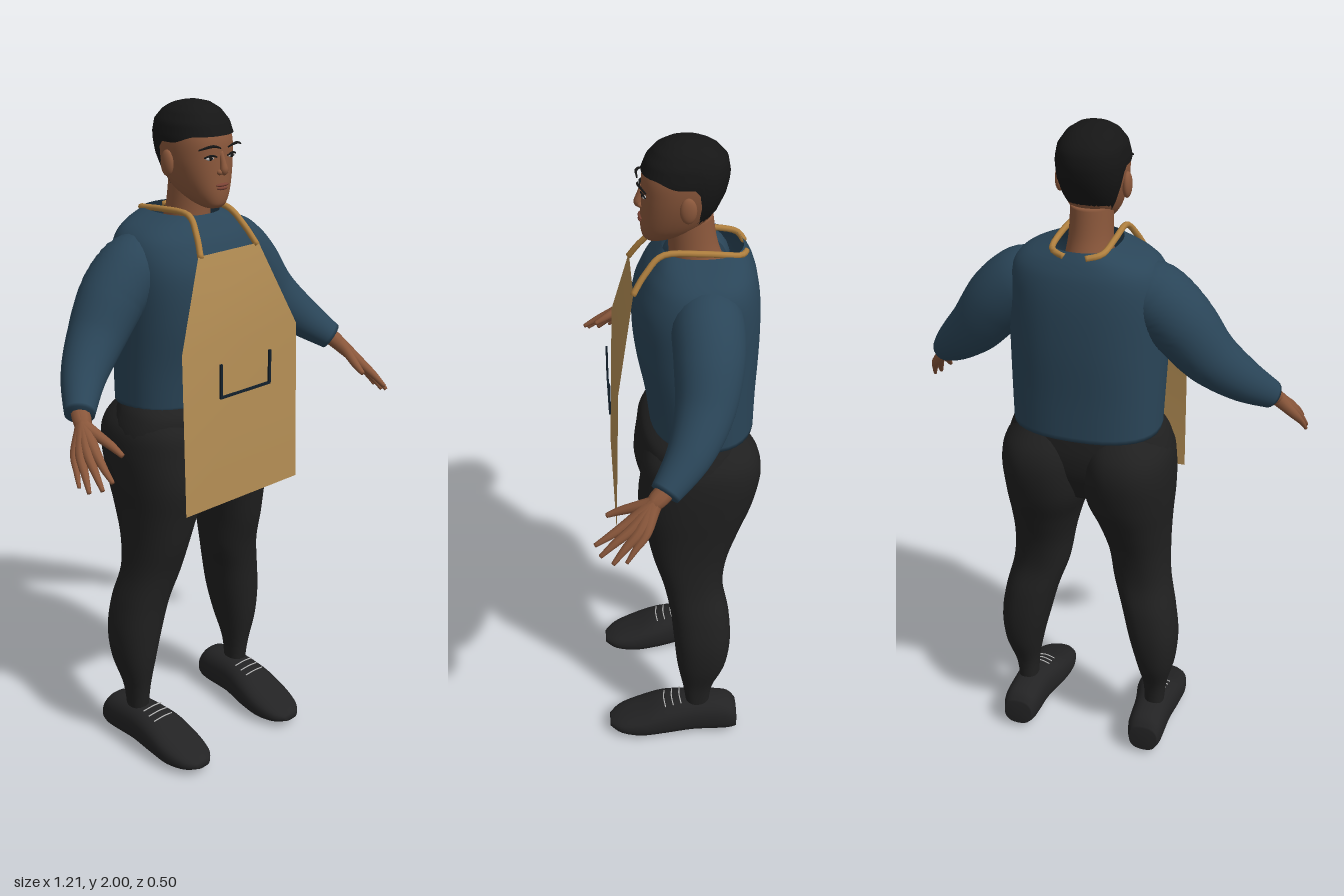
import * as THREE from 'three';

const mat = (name, color, side = THREE.FrontSide) => {
  const m = new THREE.MeshStandardMaterial({ color, side });
  m.name = name;
  return m;
};
const V = (x, y, z) => new THREE.Vector3(x, y, z);

// Catmull-Rom sample of a table of rows, t in 0..1
function sample(rows, t) {
  const n = rows.length - 1, f = t * n, i = Math.min(Math.floor(f), n - 1), u = f - i;
  const at = (k) => rows[Math.max(0, Math.min(n, k))];
  return rows[0].map((_, c) => {
    const [a, b, d, e] = [at(i - 1)[c], at(i)[c], at(i + 1)[c], at(i + 2)[c]];
    return b + 0.5 * u * (d - a + u * (2 * a - 5 * b + 4 * d - e + u * (3 * (b - d) + e - a)));
  });
}
const pow = (v, n) => Math.sign(v) * Math.abs(v) ** (2 / n);

// Smooth skin over a list of rings; ends optionally closed
function skin(rings, capA = true, capB = true) {
  const S = rings[0].length, R = rings.length, pos = [], idx = [];
  rings.forEach((r) => r.forEach((p) => pos.push(p.x, p.y, p.z)));
  for (let i = 0; i < R - 1; i++) for (let j = 0; j < S; j++) {
    const a = i * S + j, b = i * S + (j + 1) % S;
    idx.push(a, b, a + S, b, b + S, a + S);
  }
  const cap = (r, flip) => {
    const c = V(0, 0, 0), k = pos.length / 3;
    rings[r].forEach((p) => c.addScaledVector(p, 1 / S));
    pos.push(c.x, c.y, c.z);
    for (let j = 0; j < S; j++) {
      const a = r * S + j, b = r * S + (j + 1) % S;
      flip ? idx.push(k, b, a) : idx.push(k, a, b);
    }
  };
  if (capA) cap(0, true);
  if (capB) cap(R - 1, false);
  const g = new THREE.BufferGeometry();
  g.setAttribute('position', new THREE.Float32BufferAttribute(pos, 3));
  g.setIndex(idx);
  g.computeVertexNormals();
  return g;
}

const ring = (S, f) => Array.from({ length: S }, (_, j) => f(j / S * Math.PI * 2));

// Upright loft from rows [y, xMin, xMax, zFront, zBack], bottom to top
function loft(rows, n = 2.3, capA = true, capB = true, S = 36) {
  const R = rows.length * 5;
  return skin(Array.from({ length: R + 1 }, (_, i) => {
    const [y, x0, x1, zf, zb] = sample(rows, i / R);
    return ring(S, (a) => V((x0 + x1) / 2 + (x1 - x0) / 2 * pow(Math.sin(a), n), y,
      (zf + zb) / 2 + (zf - zb) / 2 * pow(Math.cos(a), n)));
  }), capA, capB);
}

// Round limb through points [x, y, z, radius]
function limb(pts, S = 12, steps = 5) {
  const R = (pts.length - 1) * steps, ref = V(1, 1, 0.3);
  return skin(Array.from({ length: R + 1 }, (_, i) => {
    const t = i / R, p = sample(pts, t);
    const q0 = sample(pts, Math.max(0, t - 0.01)), q1 = sample(pts, Math.min(1, t + 0.01));
    const T = V(q1[0] - q0[0], q1[1] - q0[1], q1[2] - q0[2]).normalize();
    const B = T.clone().cross(ref).normalize(), N = B.clone().cross(T);
    return ring(S, (a) => V(p[0], p[1], p[2])
      .addScaledVector(N, p[3] * Math.cos(a)).addScaledVector(B, p[3] * Math.sin(a)));
  }));
}

export function createModel() {
  const D = THREE.DoubleSide;
  const skinM = mat('skin', 0x8a573b), hairM = mat('hair', 0x161616, D), shirtM = mat('shirt', 0x2a4558, D);
  const pantsM = mat('trousers', 0x202020), apronM = mat('apron', 0xb38d54, D), strapM = mat('strap', 0xb0803f);
  const shoeM = mat('shoe', 0x232324), laceM = mat('lace', 0xb8b8b8), inkM = mat('darkNavy', 0x13202b);
  const lipM = mat('lips', 0x7a4234);
  const root = new THREE.Group();
  const add = (name, geo, m, parent = root) => {
    const o = new THREE.Mesh(geo, m);
    o.name = name;
    parent.add(o);
    return o;
  };
  const blob = (name, m, p, s) => {
    const o = add(name, new THREE.SphereGeometry(1, 20, 14), m);
    o.position.set(...p);
    o.scale.set(...s);
  };

  // Head and neck
  const head = [[1.712, 0.025, 0.072, 0.02], [1.725, 0.042, 0.083, -0.02], [1.755, 0.064, 0.088, -0.08],
    [1.8, 0.082, 0.087, -0.115], [1.85, 0.093, 0.085, -0.138], [1.9, 0.095, 0.082, -0.149],
    [1.94, 0.087, 0.066, -0.142], [1.97, 0.066, 0.04, -0.115], [1.987, 0.04, 0.01, -0.08], [1.994, 0.008, -0.025, -0.04]];
  add('head', loft(head.map(([y, w, f, b]) => [y, -w, w, f, b])), skinM);
  add('neck', loft([[1.6, -0.075, 0.075, 0.01, -0.16], [1.69, -0.062, 0.062, 0.012, -0.125],
    [1.78, -0.06, 0.06, 0.02, -0.11]], 2), skinM);

  // Close-cropped hair: follows the head, with a hairline that drops behind the ears
  const headAt = (y) => {
    let i = head.findIndex((r) => r[0] >= y);
    if (i < 1) i = i < 0 ? head.length - 1 : 1;
    const t = Math.min(1, (y - head[i - 1][0]) / (head[i][0] - head[i - 1][0]));
    return head[i].map((v, c) => THREE.MathUtils.lerp(head[i - 1][c], v, t));
  };
  const hairline = (a) => {
    const b = Math.PI - Math.abs(a - Math.PI);
    return 1.908 - 0.02 * THREE.MathUtils.smoothstep(b, 0.8, 1.5) - 0.135 * THREE.MathUtils.smoothstep(b, 1.7, 2.3);
  };
  add('hair', skin(Array.from({ length: 17 }, (_, k) => ring(48, (a) => {
    const y = THREE.MathUtils.lerp(hairline(a), 1.994, Math.sin(k / 16 * Math.PI / 2));
    const [, w, f, b] = headAt(y);
    return V((w + 0.005) * pow(Math.sin(a), 2.3), y + 0.006,
      (f + b) / 2 + ((f - b) / 2 + 0.006) * pow(Math.cos(a), 2.3));
  })), false, true), hairM);

  // Face
  add('nose', limb([[0, 1.87, 0.08, 0.006], [0, 1.84, 0.089, 0.009], [0, 1.82, 0.093, 0.012], [0, 1.811, 0.088, 0.008]]), skinM);
  blob('upperLip', lipM, [0, 1.779, 0.086], [0.024, 0.005, 0.008]);
  blob('lowerLip', lipM, [0, 1.77, 0.085], [0.02, 0.006, 0.009]);
  for (const s of [-1, 1]) {
    blob('nostril', skinM, [s * 0.011, 1.815, 0.086], [0.009, 0.008, 0.01]);
    blob('ear', skinM, [s * 0.096, 1.835, -0.035], [0.013, 0.037, 0.023]);
    blob('eyeWhite', laceM, [s * 0.04, 1.855, 0.078], [0.015, 0.005, 0.006]);
    blob('iris', hairM, [s * 0.04, 1.856, 0.081], [0.007, 0.006, 0.005]);
    add('eyelid', limb([[s * 0.02, 1.858, 0.086, 0.002], [s * 0.04, 1.864, 0.085, 0.003], [s * 0.06, 1.858, 0.076, 0.002]], 6), hairM);
    add('eyebrow', limb([[s * 0.014, 1.883, 0.094, 0.002], [s * 0.045, 1.891, 0.094, 0.004], [s * 0.08, 1.882, 0.076, 0.002]], 6), hairM);
  }

  // Shirt
  add('shirtBody', loft([[1.13, -0.218, 0.218, 0.07, -0.235], [1.25, -0.222, 0.222, 0.085, -0.238],
    [1.4, -0.226, 0.226, 0.112, -0.245], [1.53, -0.228, 0.228, 0.114, -0.243], [1.61, -0.215, 0.215, 0.085, -0.232],
    [1.655, -0.175, 0.175, 0.055, -0.215], [1.688, -0.095, 0.095, 0.03, -0.195]], 2.4, true, false), shirtM);

  // Trousers
  add('hips', loft([[0.9, -0.18, 0.18, 0.06, -0.16], [0.98, -0.245, 0.245, 0.09, -0.2], [1.05, -0.25, 0.25, 0.098, -0.215],
    [1.11, -0.232, 0.232, 0.095, -0.215], [1.145, -0.21, 0.21, 0.06, -0.21]], 2.4), pantsM);

  for (const s of [-1, 1]) {
    const side = new THREE.Group();
    side.name = s > 0 ? 'leftLimbs' : 'rightLimbs';
    root.add(side);

    // Leg, as rows of [y, inner x, outer x, front z, back z]
    add('trouserLeg', loft([[0.11, 0.185, 0.243, -0.03, -0.1], [0.2, 0.18, 0.252, -0.018, -0.112], [0.3, 0.16, 0.277, 0, -0.15],
      [0.4, 0.135, 0.285, 0.01, -0.165], [0.5, 0.11, 0.272, 0.02, -0.16], [0.6, 0.078, 0.25, 0.04, -0.142],
      [0.7, 0.062, 0.243, 0.07, -0.155], [0.8, 0.035, 0.246, 0.092, -0.19], [0.9, -0.002, 0.254, 0.112, -0.23],
      [1.0, -0.006, 0.257, 0.102, -0.25], [1.07, 0, 0.245, 0.09, -0.24], [1.13, 0.02, 0.2, 0.05, -0.2]]
      .map(([y, a, b, f, k]) => [y, s > 0 ? a : -b, s > 0 ? b : -a, f, k])), pantsM, side);

    // Shoe, as rows of [z, centre x, half width, bottom, top]
    const shoe = [[-0.19, 0.212, 0.045, 0.015, 0.1], [-0.155, 0.21, 0.056, 0.008, 0.132], [-0.05, 0.206, 0.06, 0.008, 0.138],
      [0.04, 0.2, 0.072, 0.002, 0.124], [0.12, 0.198, 0.074, 0, 0.09], [0.185, 0.196, 0.058, 0.01, 0.062], [0.22, 0.195, 0.026, 0.022, 0.042]];
    add('shoe', skin(Array.from({ length: 31 }, (_, i) => {
      const [z, cx, w, y0, y1] = sample(shoe, i / 30);
      return ring(28, (a) => V(s * cx + w * pow(Math.cos(a), 2.5), (y0 + y1) / 2 + (y1 - y0) / 2 * pow(Math.sin(a), 2.5), z));
    })), shoeM, side);
    for (let k = 0; k < 3; k++) {
      const z = -0.01 + k * 0.025, y = 0.138 - k * 0.007;
      add('lace', limb([[s * 0.165, y - 0.004, z, 0.002], [s * 0.2, y + 0.002, z + 0.004, 0.002], [s * 0.238, y - 0.004, z, 0.002]], 6), laceM, side);
    }

    // Sleeve
    add('sleeve', limb([[0.13, 1.55, -0.085, 0.085], [0.19, 1.54, -0.082, 0.1], [0.265, 1.475, -0.08, 0.098], [0.345, 1.375, -0.062, 0.083],
      [0.43, 1.292, -0.015, 0.064], [0.505, 1.22, 0.058, 0.042]].map(([x, y, z, r]) => [s * x, y, z, r]), 24, 8), shirtM, side)
      .geometry.computeVertexNormals();

    // Hand: each digit runs from the wrist over its knuckle to the tip
    const digits = {
      thumb: [[0.507, 1.185, 0.125, 0.016], [0.492, 1.16, 0.175, 0.012], [0.485, 1.14, 0.213, 0.007]],
      indexFinger: [[0.532, 1.155, 0.15, 0.016], [0.545, 1.12, 0.205, 0.011], [0.55, 1.092, 0.248, 0.006]],
      middleFinger: [[0.548, 1.148, 0.142, 0.016], [0.565, 1.108, 0.195, 0.011], [0.574, 1.072, 0.235, 0.006]],
      ringFinger: [[0.56, 1.142, 0.128, 0.016], [0.58, 1.098, 0.17, 0.011], [0.593, 1.06, 0.202, 0.006]],
      littleFinger: [[0.565, 1.14, 0.11, 0.014], [0.586, 1.1, 0.142, 0.009], [0.598, 1.066, 0.166, 0.005]],
    };
    for (const [name, pts] of Object.entries(digits))
      add(name, limb([[0.498, 1.228, 0.05, 0.026], [0.515, 1.2, 0.085, 0.023], ...pts].map(([x, y, z, r]) => [s * x, y, z, r]), 10), skinM, side);

    // Neck strap
    add('apronStrap', limb([[0.11, 1.595, 0.116, 0.009], [0.092, 1.65, 0.08, 0.009], [0.076, 1.696, 0.028, 0.009], [0.078, 1.696, -0.08, 0.009],
      [0.072, 1.685, -0.175, 0.009], [0.03, 1.675, -0.2, 0.009]].map(([x, y, z, r]) => [s * x, y, z, r]), 8), strapM);

    // Pocket side stitching
    add('pocketSide', new THREE.BoxGeometry(0.008, 0.1, 0.006), inkM).position.set(s * 0.097, 1.25, 0.187);
  }
  add('pocketBottom', new THREE.BoxGeometry(0.2, 0.007, 0.006), inkM).position.set(0, 1.2, 0.187);

  // Apron panel: narrow bib, widening to a straight skirt
  const apron = new THREE.PlaneGeometry(1, 1, 1, 2);
  [[1.6, 0.118, 0.115], [1.35, 0.227, 0.166], [0.865, 0.227, 0.181]].forEach(([y, w, z], i) => {
    apron.attributes.position.setXYZ(i * 2, -w, y, z);
    apron.attributes.position.setXYZ(i * 2 + 1, w, y, z);
  });
  apron.computeVertexNormals();
  add('apron', apron, apronM);
  return root;
}
